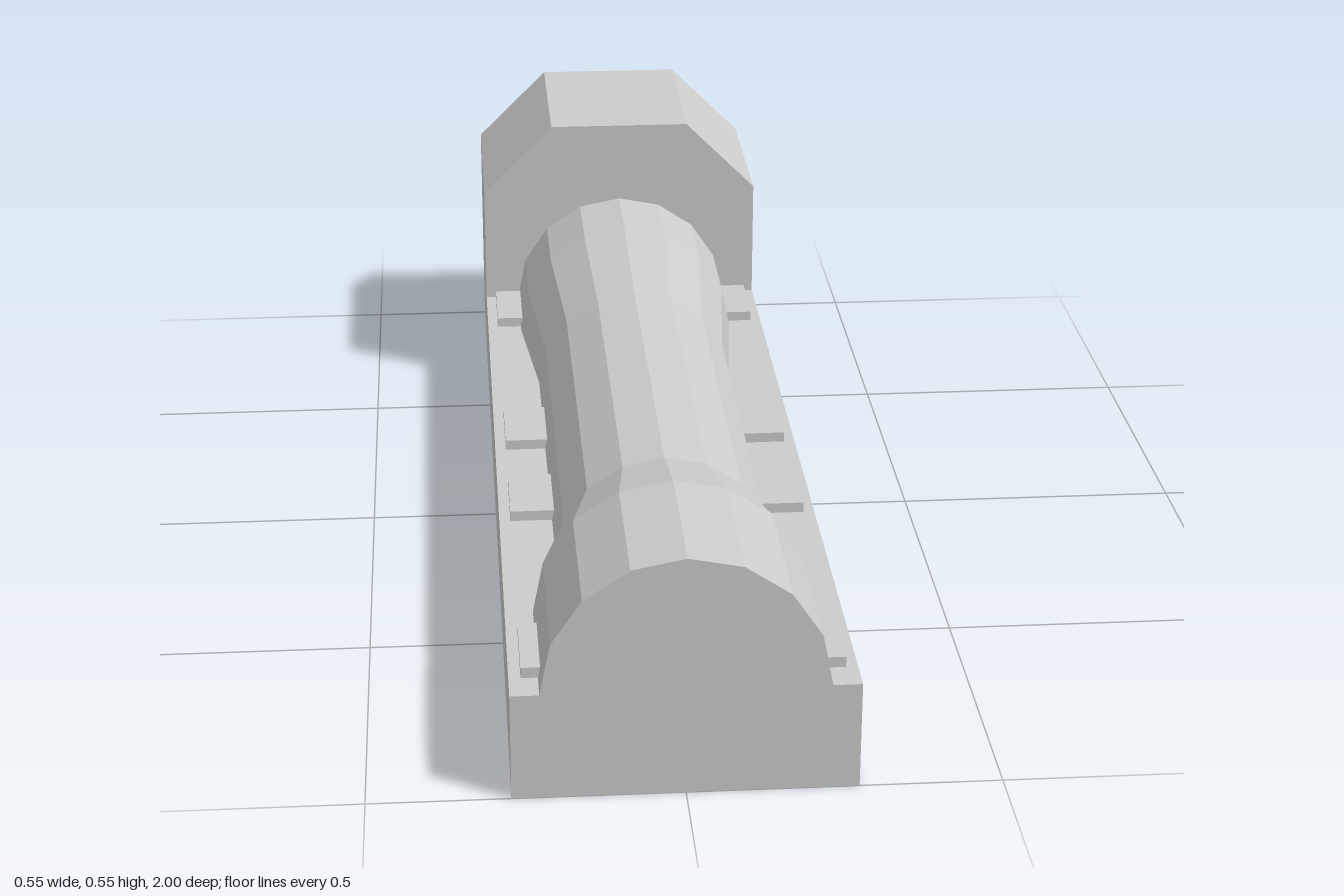
import * as THREE from 'three';

const HALF_W = 0.273;  // half width of base and end block
const DECK = 0.182;    // top of the base, axis of the barrel
const BLOCK_Z = -0.636; // front face of the end block

export function createModel() {
  const model = new THREE.Group();
  const material = new THREE.MeshStandardMaterial({ color: 0xcccccc, flatShading: true });
  const add = (name, geometry, x = 0, y = 0, z = 0) => {
    const mesh = new THREE.Mesh(geometry, material);
    mesh.name = name;
    mesh.position.set(x, y, z);
    model.add(mesh);
    return mesh;
  };

  // Long flat base in front of the end block
  const baseLength = 1 - BLOCK_Z;
  add('base', new THREE.BoxGeometry(HALF_W * 2, DECK, baseLength), 0, DECK / 2, (1 + BLOCK_Z) / 2);

  // Tall end block with chamfered top edges
  const outline = new THREE.Shape([
    [-HALF_W, 0], [HALF_W, 0], [HALF_W, 0.409],
    [0.136, 0.545], [-0.136, 0.545], [-HALF_W, 0.409],
  ].map(([x, y]) => new THREE.Vector2(x, y)));
  add('endBlock', new THREE.ExtrudeGeometry(outline, { depth: 1 + BLOCK_Z, bevelEnabled: false }), 0, 0, -1);

  // Half-round barrel, waisted in the middle: [radius, z], closed at the front
  const profile = [
    [0.208, BLOCK_Z], [0.208, -0.455], [0.182, -0.19],
    [0.182, 0.545], [0.227, 0.727], [0.227, 1], [0, 1],
  ].map(([r, z]) => new THREE.Vector2(r, z));
  const barrel = new THREE.LatheGeometry(profile, 8, Math.PI / 2, Math.PI);
  barrel.rotateX(Math.PI / 2);
  add('barrel', barrel, 0, DECK, 0);

  // Small pads along both sides of the barrel
  const pad = new THREE.BoxGeometry(0.082, 0.018, 0.145);
  for (const z of [-0.548, 0.034, 0.325, 0.872]) {
    add('leftPad', pad, 0.213, DECK + 0.009, z);
    add('rightPad', pad, -0.213, DECK + 0.009, z);
  }

  return model;
}
